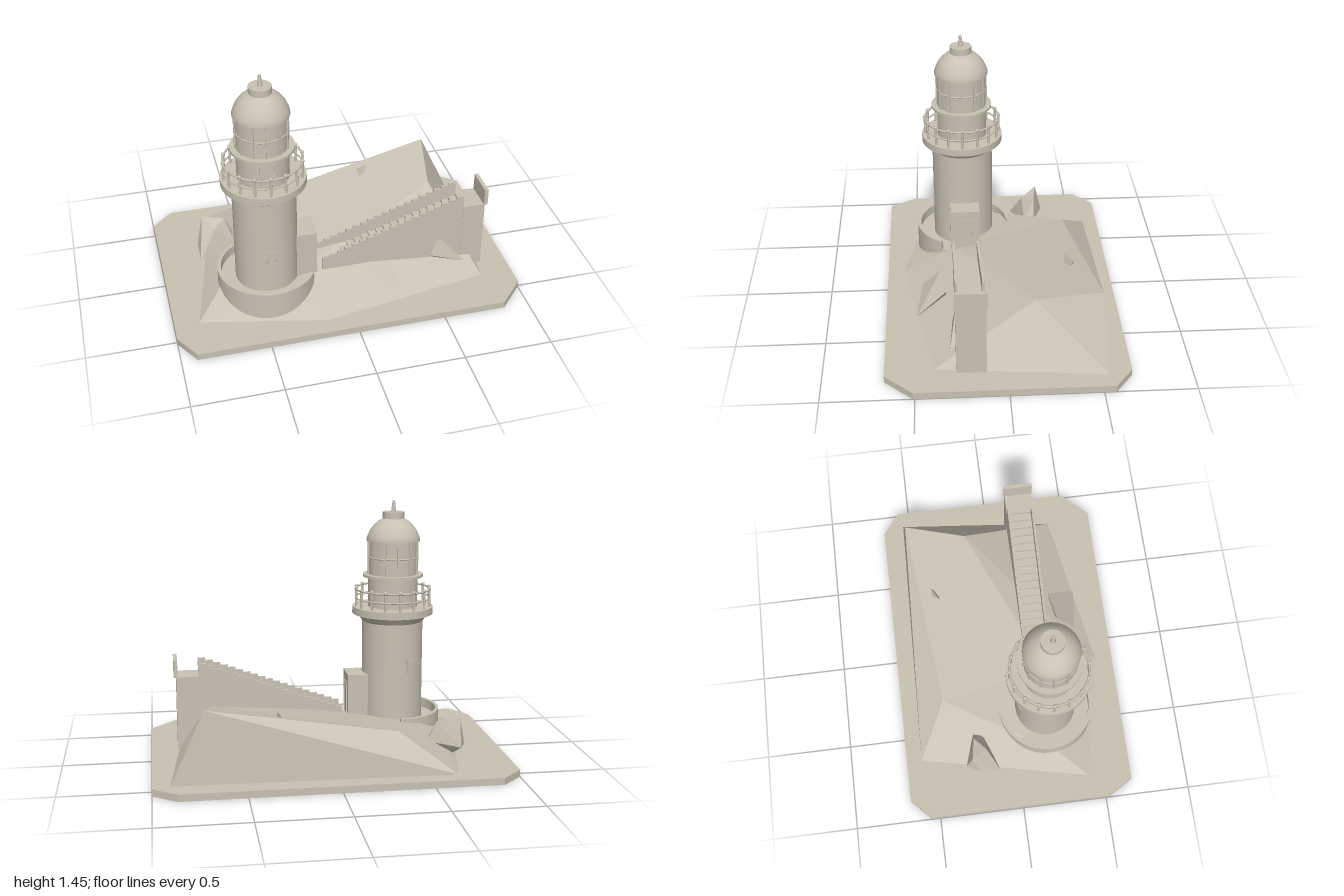
import * as THREE from 'three';
import { toCreasedNormals } from 'three/addons/utils/BufferGeometryUtils.js';
import { ConvexGeometry } from 'three/addons/geometries/ConvexGeometry.js';

const V = (p) => new THREE.Vector3(...p);

export function createModel() {
  const model = new THREE.Group();
  const stone = new THREE.MeshStandardMaterial({ color: 0xc8c2b2 });
  stone.name = 'stone';

  const add = (name, geometry, parent = model) => {
    const mesh = new THREE.Mesh(geometry, stone);
    mesh.name = name;
    parent.add(mesh);
    return mesh;
  };
  // Box given by its limits on each axis
  const box = (name, [x0, x1], [y0, y1], [z0, z1], parent) => {
    const m = add(name, new THREE.BoxGeometry(x1 - x0, y1 - y0, z1 - z0), parent);
    m.position.set((x0 + x1) / 2, (y0 + y1) / 2, (z0 + z1) / 2);
    return m;
  };
  // Flat outline in x and z, extruded down from a top height
  const slab = (name, shape, top, height, parent) => {
    const g = new THREE.ExtrudeGeometry(shape, { depth: height, bevelEnabled: false, curveSegments: 48 });
    g.rotateX(Math.PI / 2);
    const m = add(name, toCreasedNormals(g, 0.6), parent);
    m.position.y = top;
    return m;
  };
  const outline = (pts) => new THREE.Shape(pts.map(([x, y]) => new THREE.Vector2(x, y)));

  // Base plate with cut corners
  slab('basePlate', outline([[-0.88, -0.665], [0.87, -0.665], [1, -0.565], [1, 0.51],
    [0.855, 0.665], [-0.91, 0.665], [-1, 0.515], [-1, -0.55]]), 0.04, 0.04);

  // Faceted hill
  const h = {
    A: [-0.647, 0.04, -0.577], B: [0.904, 0.04, -0.54], C: [0.81, 0.04, 0.396],
    D: [-0.155, 0.04, 0.567], E: [-0.86, 0.04, 0.41], P: [0.717, 0.44, -0.513],
    Q: [-0.35, 0.245, -0.406], R: [0.65, 0.36, -0.16], T: [-0.2, 0.18, 0.24], U: [-0.72, 0.12, 0.25],
  };
  const hillPoints = [];
  for (const face of ['EDT', 'ETU', 'AEU', 'AUQ', 'UTQ', 'QTR', 'QRP', 'TDR', 'DCR', 'BPR', 'BRC', 'AQP', 'APB']) {
    const [a, b, c] = [...face].map((k) => V(h[k]));
    const up = b.clone().sub(a).cross(c.clone().sub(a)).y > 0;
    hillPoints.push(a, ...(up ? [b, c] : [c, b]));
  }
  const hill = new THREE.BufferGeometry().setFromPoints(hillPoints);
  hill.computeVertexNormals();
  add('hill', hill);

  // Loose rocks
  const rocks = [
    [[-0.73, 0.265, -0.27], [-0.6, 0.245, -0.25], [-0.67, 0.22, -0.18], [-0.77, 0.1, -0.23], [-0.77, 0.06, -0.11],
      [-0.73, 0.1, -0.31], [-0.545, 0.13, -0.25], [-0.555, 0.12, -0.19], [-0.68, 0.04, -0.24]],
    [[0.1, 0.2, 0.35], [0.28, 0.17, 0.32], [0.325, 0.04, 0.49], [0.07, 0.08, 0.46], [0.2, 0.04, 0.33]],
    [[0.57, 0.28, 0.27], [0.53, 0.155, 0.29], [0.735, 0.09, 0.31], [0.72, 0.08, 0.25], [0.6, 0.05, 0.22]],
    [[0.25, 0.385, -0.36], [0.32, 0.385, -0.4], [0.28, 0.33, -0.4], [0.27, 0.33, -0.35], [0.32, 0.34, -0.38]],
  ];
  rocks.forEach((pts, i) => add('rock' + (i + 1), new ConvexGeometry(pts.map(V))));

  // Lighthouse, built around its own axis
  const tower = new THREE.Group();
  tower.name = 'lighthouse';
  tower.position.set(-0.43, 0, 0.2);
  model.add(tower);
  const drum = (name, rBottom, rTop, y0, y1, sides = 48) => {
    const m = add(name, new THREE.CylinderGeometry(rTop, rBottom, y1 - y0, sides), tower);
    m.position.y = (y0 + y1) / 2;
    return m;
  };
  const hoop = (name, r, tube, y) => {
    const m = add(name, new THREE.TorusGeometry(r, tube, 8, 48), tower);
    m.rotation.x = Math.PI / 2;
    m.position.y = y;
  };

  // Terrace and the curved wall around its open side
  drum('terrace', 0.278, 0.278, 0.04, 0.157);
  const start = 0.52, end = Math.PI * 1.5;
  const arc = new THREE.Shape();
  arc.absarc(0, 0, 0.282, start, end, false);
  arc.absarc(0, 0, 0.262, end, start, true);
  slab('terraceWall', arc, 0.212, 0.17, tower);

  drum('towerShaft', 0.179, 0.178, 0.05, 0.745);
  drum('galleryCorbel', 0.18, 0.21, 0.745, 0.788);
  drum('galleryDeck', 0.237, 0.237, 0.788, 0.83);
  drum('watchRoom', 0.145, 0.145, 0.83, 1.008);
  drum('lanternLedge', 0.176, 0.176, 1.006, 1.021);
  drum('lanternGlass', 0.143, 0.143, 1.02, 1.22);

  // Gallery railing
  for (let i = 0; i < 16; i++) {
    const a = (i / 16) * Math.PI * 2, x = Math.cos(a) * 0.218, z = Math.sin(a) * 0.218;
    const post = drum('railingPost', 0.007, 0.007, 0.83, 0.94, 8);
    post.position.x = x;
    post.position.z = z;
    add('railingKnob', new THREE.SphereGeometry(0.011, 10, 8), tower).position.set(x, 0.938, z);
  }
  hoop('topRail', 0.218, 0.006, 0.932);
  hoop('middleRail', 0.218, 0.005, 0.88);

  // Lantern glazing bars
  for (let i = 0; i < 12; i++) {
    const a = (i / 12) * Math.PI * 2;
    const bar = add('glazingBar', new THREE.BoxGeometry(0.012, 0.2, 0.012), tower);
    bar.position.set(Math.sin(a) * 0.144, 1.12, Math.cos(a) * 0.144);
    bar.rotation.y = a;
  }
  hoop('middleGlazingHoop', 0.143, 0.005, 1.12);

  // Dome, vent cap and finial
  const dome = [[0, 1.215], [0.155, 1.215], [0.155, 1.228], [0.148, 1.25], [0.135, 1.278], [0.115, 1.305],
    [0.09, 1.328], [0.062, 1.345], [0, 1.35]].map(([r, y]) => new THREE.Vector2(r, y));
  add('dome', toCreasedNormals(new THREE.LatheGeometry(dome, 48), 0.7), tower);
  drum('ventCap', 0.063, 0.063, 1.342, 1.383, 32);
  drum('finial', 0.015, 0.008, 1.383, 1.44, 12);
  add('finialTip', new THREE.SphereGeometry(0.009, 12, 8), tower).position.y = 1.441;

  // Framed openings: four thin bars around a flush pane, set on a wall at an angle
  const opening = (name, parent, w, ht, x, y, z, angle) => {
    const g = new THREE.Group();
    g.name = name;
    g.position.set(x, y, z);
    g.rotation.y = angle;
    parent.add(g);
    const b = 0.007;
    box('pane', [-w / 2, w / 2], [-ht / 2, ht / 2], [-0.004, 0.001], g);
    for (const s of [-1, 1]) {
      box('frameSide', [s * w / 2 - b / 2, s * w / 2 + b / 2], [-ht / 2, ht / 2], [-0.004, 0.005], g);
      box('frameEdge', [-w / 2, w / 2], [s * ht / 2 - b / 2, s * ht / 2 + b / 2], [-0.004, 0.005], g);
    }
  };
  const onTower = (name, a, r, w, ht, y) => opening(name, tower, w, ht, Math.sin(a) * r, y, Math.cos(a) * r, a);
  onTower('frontWindow', 0, 0.178, 0.045, 0.08, 0.388);
  onTower('backWindow', Math.PI + 0.45, 0.178, 0.045, 0.08, 0.49);
  onTower('galleryDoor', 0, 0.145, 0.08, 0.13, 0.92);

  // Entrance porch
  box('porch', [-0.27, -0.152], [0.1, 0.436], [0.11, 0.282]);
  opening('porchDoor', model, 0.09, 0.2, -0.152, 0.28, 0.196, Math.PI / 2);
  box('porchStep', [-0.16, -0.1], [0.06, 0.165], [0.118, 0.275]);

  // Stairs: a stepped profile extruded across the flight
  const steps = 19, x0 = -0.12, x1 = 0.718;
  const flight = (name, low, high, zFrom, zTo) => {
    const pts = [[x0, 0.04]];
    for (let i = 0; i < steps; i++) {
      const y = low + ((high - low) * i) / (steps - 1);
      pts.push([x0 + ((x1 - x0) * i) / steps, y], [x0 + ((x1 - x0) * (i + 1)) / steps, y]);
    }
    pts.push([x1, 0.04]);
    const g = new THREE.ExtrudeGeometry(outline(pts), { depth: zTo - zFrom, bevelEnabled: false });
    add(name, g).position.z = zFrom;
  };
  flight('stairTreads', 0.175, 0.445, 0.13, 0.263);
  flight('stairParapetBack', 0.25, 0.535, 0.117, 0.131);
  flight('stairParapetFront', 0.25, 0.535, 0.262, 0.276);

  // Landing block and its end panel
  box('landing', [0.717, 0.848], [0.04, 0.46], [0.115, 0.278]);
  box('endPanel', [0.84, 0.862], [0.46, 0.56], [0.108, 0.284]);

  return model;
}
